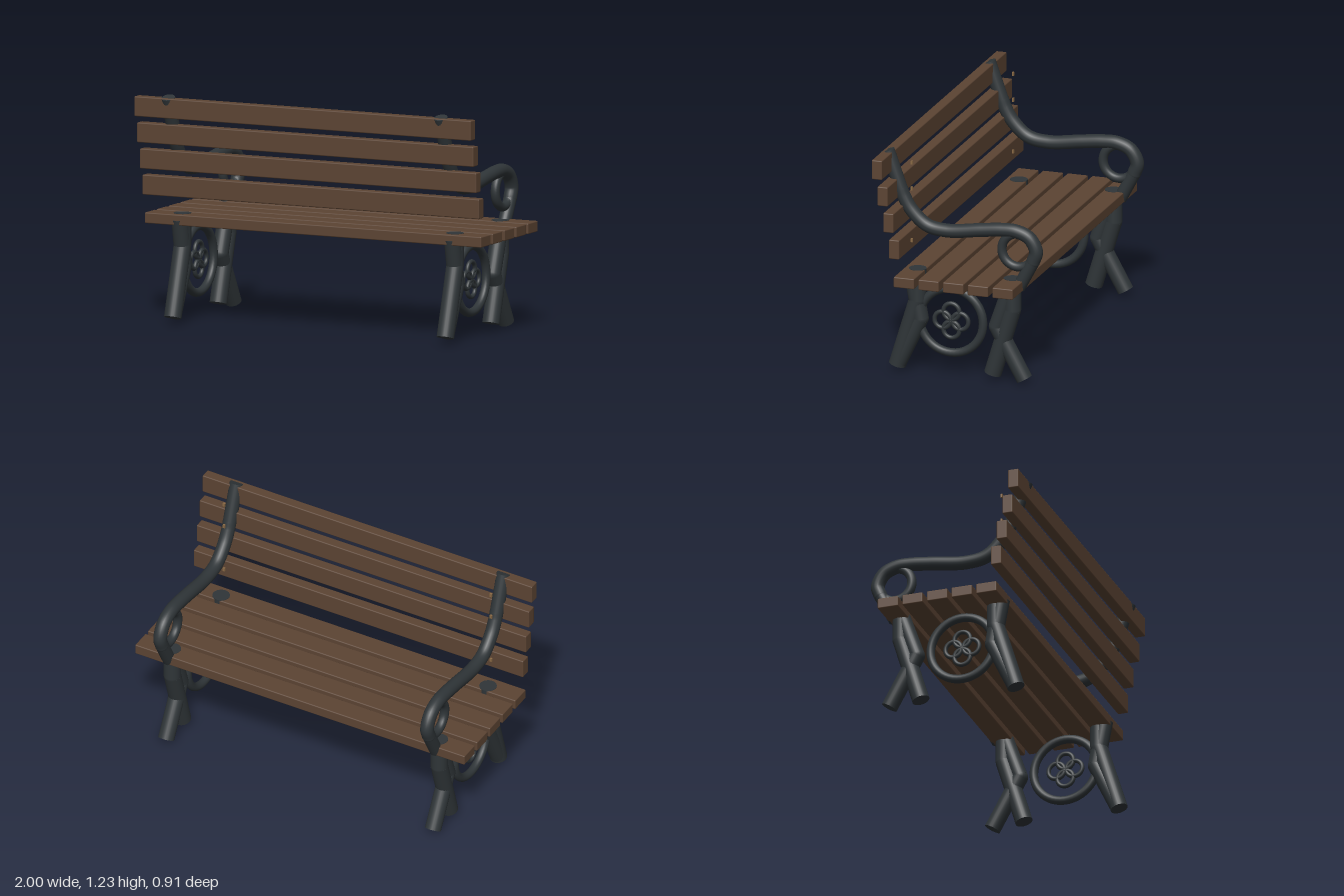
import * as THREE from 'three';
import { RoundedBoxGeometry } from 'three/addons/geometries/RoundedBoxGeometry.js';

const wood = new THREE.MeshStandardMaterial({ color: 0x5c4433 });
const iron = new THREE.MeshStandardMaterial({ color: 0x2f3538 });
const brass = new THREE.MeshStandardMaterial({ color: 0x8a6a45 });

function addMesh(parent, name, geometry, material, x = 0, y = 0, z = 0) {
  const mesh = new THREE.Mesh(geometry, material);
  mesh.name = name;
  mesh.position.set(x, y, z);
  parent.add(mesh);
  return mesh;
}

// Points are given as [z, y] in the plane of the side frame
const point = ([z, y]) => new THREE.Vector3(0, y, z);

// Straight round bars through the points, with a ball at each bend
function addBars(parent, name, points, radius) {
  const group = new THREE.Group();
  group.name = name;
  const pts = points.map(point);
  for (let i = 0; i + 1 < pts.length; i++) {
    const dir = pts[i + 1].clone().sub(pts[i]);
    const bar = addMesh(group, name + 'Bar', new THREE.CylinderGeometry(radius, radius, dir.length(), 24), iron);
    bar.position.copy(pts[i]).addScaledVector(dir, 0.5);
    bar.quaternion.setFromUnitVectors(new THREE.Vector3(0, 1, 0), dir.normalize());
    if (i > 0) addMesh(group, name + 'Bend', new THREE.SphereGeometry(radius, 24, 16), iron, 0, pts[i].y, pts[i].z);
  }
  parent.add(group);
}

function addRing(parent, name, z, y, radius, tube) {
  const ring = addMesh(parent, name, new THREE.TorusGeometry(radius, tube, 14, 48), iron, 0, y, z);
  ring.rotation.y = Math.PI / 2;
}

function createSideFrame() {
  const frame = new THREE.Group();
  frame.name = 'sideFrame';

  // Crossed legs under the backrest and under the seat edge
  addBars(frame, 'backLeg', [[0.364, 0.03], [0.25, 0.403], [0.25, 0.578]], 0.047);
  addBars(frame, 'backLegBrace', [[0.362, 0.034], [0.235, 0.3], [0.282, 0.55]], 0.045);
  addBars(frame, 'frontLeg', [[-0.172, 0.037], [-0.282, 0.403], [-0.282, 0.578]], 0.047);
  addBars(frame, 'frontLegBrace', [[-0.35, 0.022], [-0.195, 0.3], [-0.282, 0.55]], 0.044);

  // Upright, sweeping arm rest and its curled end
  addBars(frame, 'backUpright', [[0.419, 1.217], [0.343, 1.005]], 0.037);
  const armPath = new THREE.CatmullRomCurve3([
    [0.345, 1.015], [0.328, 0.97], [0.286, 0.9], [0.198, 0.822], [0.084, 0.803], [-0.11, 0.827],
    [-0.225, 0.84], [-0.305, 0.839], [-0.378, 0.808], [-0.415, 0.737], [-0.398, 0.68],
  ].map(point));
  addMesh(frame, 'armRest', new THREE.TubeGeometry(armPath, 80, 0.037, 20), iron);
  addMesh(frame, 'armRestBend', new THREE.SphereGeometry(0.037, 20, 14), iron, 0, 0.68, -0.398);
  addBars(frame, 'armSupport', [[-0.398, 0.68], [-0.318, 0.53]], 0.036);
  addRing(frame, 'armCurl', -0.315, 0.735, 0.092, 0.025);

  // Large ring holding four interlaced small rings
  addRing(frame, 'legRing', 0.061, 0.304, 0.178, 0.023);
  for (let i = 0; i < 4; i++) {
    const a = i * Math.PI / 2;
    addRing(frame, 'smallRing', 0.061 + 0.05 * Math.cos(a), 0.304 + 0.05 * Math.sin(a), 0.045, 0.012);
  }
  return frame;
}

export function createModel() {
  const bench = new THREE.Group();
  bench.name = 'bench';

  // Seat slats
  for (let i = 0; i < 5; i++) {
    addMesh(bench, 'seatSlat', new RoundedBoxGeometry(2, 0.058, 0.115, 2, 0.006), wood, 0, 0.547, 0.263 - i * 0.1387);
  }

  // Backrest slats, stepping back as they rise, with a small bolt per frame
  for (let i = 0; i < 4; i++) {
    addMesh(bench, 'backSlat', new RoundedBoxGeometry(2, 0.107, 0.058, 2, 0.006), wood, 0, 0.728 + i * 0.1443, 0.318 + i * 0.0322);
    for (const x of [-0.81, 0.81]) {
      addMesh(bench, 'bolt', new THREE.BoxGeometry(0.012, 0.02, 0.01), brass, x, 0.728 + i * 0.1443, 0.283);
    }
  }

  for (const x of [-0.81, 0.81]) {
    const frame = createSideFrame();
    frame.position.x = x;
    bench.add(frame);
  }
  return bench;
}
